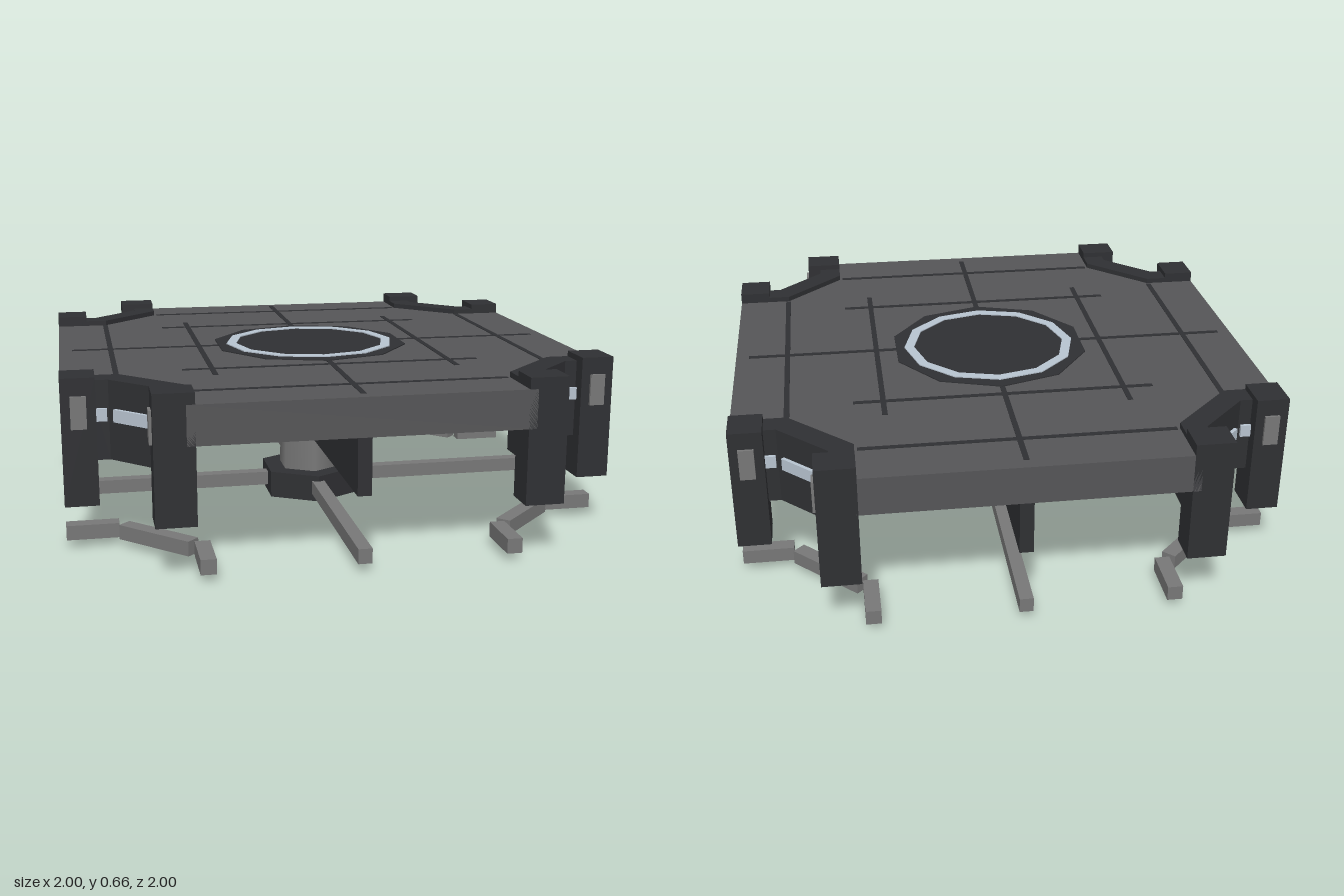
import * as THREE from 'three';

const material = (color) => new THREE.MeshStandardMaterial({ color, flatShading: true });

export function createModel() {
  const model = new THREE.Group();
  model.name = 'platform';
  const deckGrey = material(0x555557);
  const dark = material(0x2f3033);
  const metal = material(0x777777);
  const glow = material(0xb8c4d0);
  const smoothMetal = new THREE.MeshStandardMaterial({ color: 0x777777 });

  function add(parent, name, geometry, mat) {
    const mesh = new THREE.Mesh(geometry, mat);
    mesh.name = name;
    parent.add(mesh);
    return mesh;
  }
  // Box given by its centre and size
  function box(parent, name, mat, [x, y, z], [w, h, d], turn = 0) {
    const mesh = add(parent, name, new THREE.BoxGeometry(w, h, d), mat);
    mesh.position.set(x, y, z);
    mesh.rotation.y = turn;
    return mesh;
  }
  // Upright prism over an outline of [x, z] points
  function prism(parent, name, mat, points, bottom, top) {
    const shape = new THREE.Shape(points.map(([x, z]) => new THREE.Vector2(x, z)));
    const geo = new THREE.ExtrudeGeometry(shape, { depth: top - bottom, bevelEnabled: false });
    geo.rotateX(Math.PI / 2).translate(0, top, 0);
    return add(parent, name, geo, mat);
  }
  function cylinder(name, mat, rTop, rBottom, bottom, top, sides) {
    const mesh = add(model, name, new THREE.CylinderGeometry(rTop, rBottom, top - bottom, sides), mat);
    mesh.position.y = (top + bottom) / 2;
  }

  // Deck with its four corners notched
  const notch = [[1, 0.6], [0.81, 0.6], [0.6, 0.81], [0.6, 1]];
  const outline = [];
  for (let i = 0; i < 4; i++) {
    for (let [x, z] of notch) {
      for (let k = 0; k < i; k++) [x, z] = [-z, x];
      outline.push([x, z]);
    }
  }
  prism(model, 'deck', deckGrey, outline, 0.475, 0.615);

  // Seams, centre pad and glowing ring on the deck
  box(model, 'seam', dark, [0, 0.614, 0], [0.02, 0.006, 1.9]);
  box(model, 'seam', dark, [0, 0.614, 0], [1.9, 0.006, 0.02]);
  for (const p of [-0.8, -0.45, 0.45, 0.8]) {
    box(model, 'seam', dark, [p, 0.614, 0], [0.02, 0.006, 1.12]);
    box(model, 'seam', dark, [0, 0.614, p], [1.12, 0.006, 0.02]);
  }
  cylinder('centrePad', dark, 0.39, 0.39, 0.6, 0.619, 10);
  const ring = new THREE.Shape();
  const hole = new THREE.Path();
  for (let i = 0; i < 12; i++) {
    const a = (i * Math.PI) / 6;
    const step = i ? 'lineTo' : 'moveTo';
    ring[step](0.338 * Math.cos(a), 0.338 * Math.sin(a));
    hole[step](0.3 * Math.cos(a), 0.3 * Math.sin(a));
  }
  ring.holes.push(hole);
  const ringGeo = new THREE.ExtrudeGeometry(ring, { depth: 0.012, bevelEnabled: false });
  add(model, 'glowRing', ringGeo.rotateX(Math.PI / 2).translate(0, 0.623, 0), glow);

  // Crossed ribs under the deck, column, hub and floor arms
  box(model, 'rib', dark, [0, 0.37, 0], [0.05, 0.21, 1.96]);
  box(model, 'rib', dark, [0, 0.37, 0], [1.96, 0.21, 0.05]);
  cylinder('column', smoothMetal, 0.118, 0.13, 0.09, 0.475, 6);
  cylinder('hub', dark, 0.205, 0.205, 0, 0.105, 6);
  box(model, 'floorArm', metal, [0, 0.056, 0], [0.05, 0.054, 2]);
  box(model, 'floorArm', metal, [0, 0.056, 0], [2, 0.054, 0.05]);

  // One corner: bent panel, lights, two posts and floor rails, turned four times
  const panel = [
    [0.57, 0.9], [0.57, 0.797], [0.797, 0.57], [0.9, 0.57],
    [0.9, 0.657], [0.835, 0.657], [0.657, 0.835], [0.657, 0.9],
  ];
  for (let i = 0; i < 4; i++) {
    const corner = new THREE.Group();
    corner.name = 'corner';
    corner.rotation.y = (i * Math.PI) / 2;
    model.add(corner);

    prism(corner, 'cornerPanel', dark, panel, 0.35, 0.635);
    box(corner, 'cornerLight', glow, [0.747, 0.513, 0.747], [0.19, 0.045, 0.024], Math.PI / 4);
    box(corner, 'floorRail', metal, [0.68, 0.056, 0.68], [0.32, 0.054, 0.055], Math.PI / 4);

    // Parts mirrored across the corner diagonal
    for (const swap of [false, true]) {
      const place = (name, mat, [x, y, z], [w, h, d]) =>
        swap
          ? box(corner, name, mat, [z, y, x], [d, h, w])
          : box(corner, name, mat, [x, y, z], [w, h, d]);
      place('post', dark, [0.64, 0.428, 0.94], [0.14, 0.455, 0.12]);
      place('postPlate', metal, [0.71, 0.535, 0.94], [0.02, 0.115, 0.055]);
      place('sideLight', glow, [0.66, 0.513, 0.862], [0.02, 0.045, 0.04]);
      place('floorRailEnd', metal, [0.537, 0.056, 0.905], [0.055, 0.054, 0.19]);
    }
  }
  return model;
}
